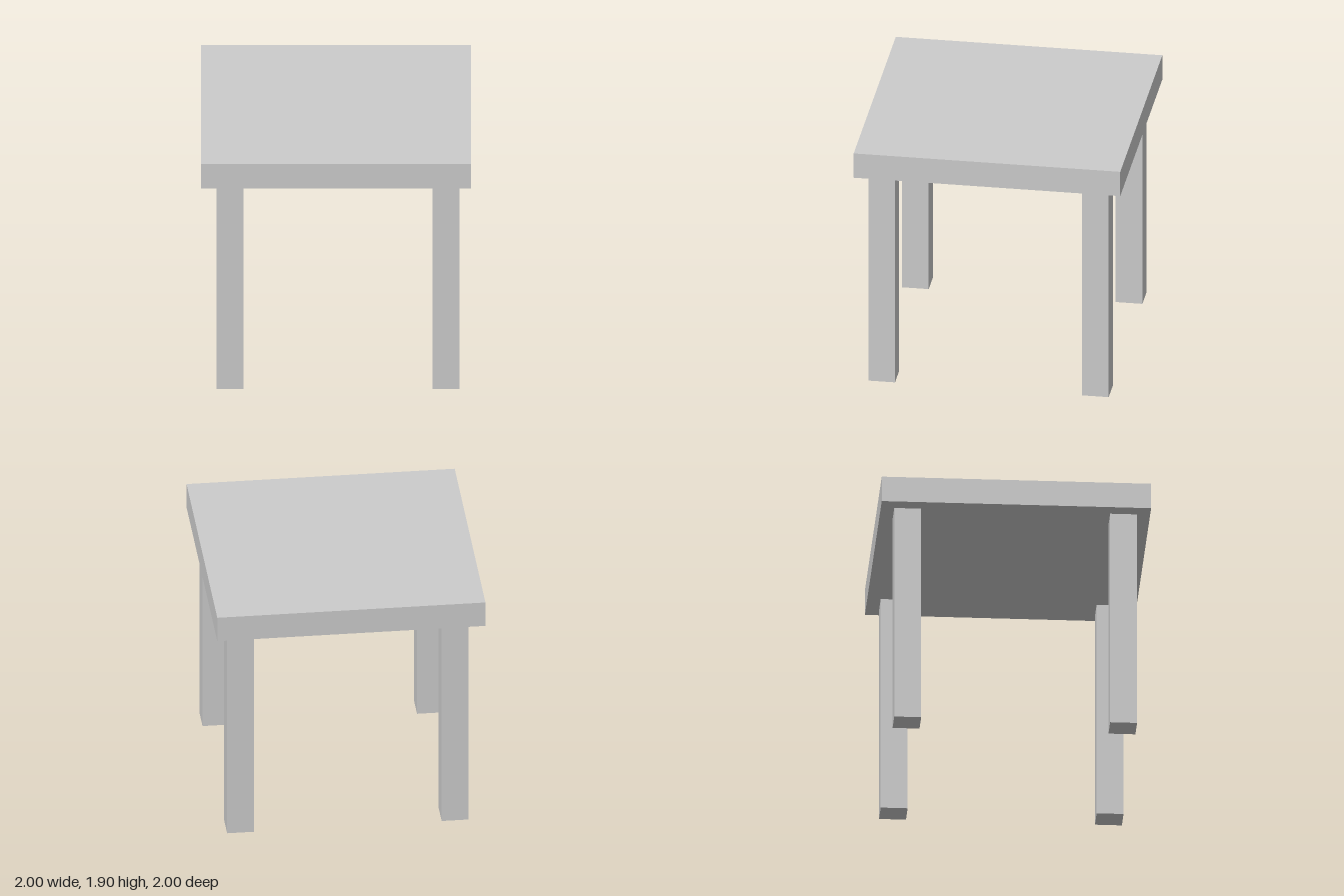
import * as THREE from 'three';

const TOP_SIZE = 2, TOP_THICKNESS = 0.2;
const LEG_WIDTH = 0.2, LEG_HEIGHT = 1.705;

export function createModel() {
  const table = new THREE.Group();
  table.name = 'table';
  const material = new THREE.MeshStandardMaterial({ color: 0xcccccc, flatShading: true });

  // Square slab resting on the legs
  const top = new THREE.Mesh(new THREE.BoxGeometry(TOP_SIZE, TOP_THICKNESS, TOP_SIZE), material);
  top.name = 'tableTop';
  top.position.y = LEG_HEIGHT + TOP_THICKNESS / 2;
  table.add(top);

  // Four square legs, set slightly towards +x
  const legGeometry = new THREE.BoxGeometry(LEG_WIDTH, LEG_HEIGHT, LEG_WIDTH);
  for (const [side, x] of [['Left', 0.815], ['Right', -0.785]]) {
    for (const [end, z] of [['front', 0.803], ['back', -0.8]]) {
      const leg = new THREE.Mesh(legGeometry, material);
      leg.name = `${end}${side}Leg`;
      leg.position.set(x, LEG_HEIGHT / 2, z);
      table.add(leg);
    }
  }
  return table;
}
